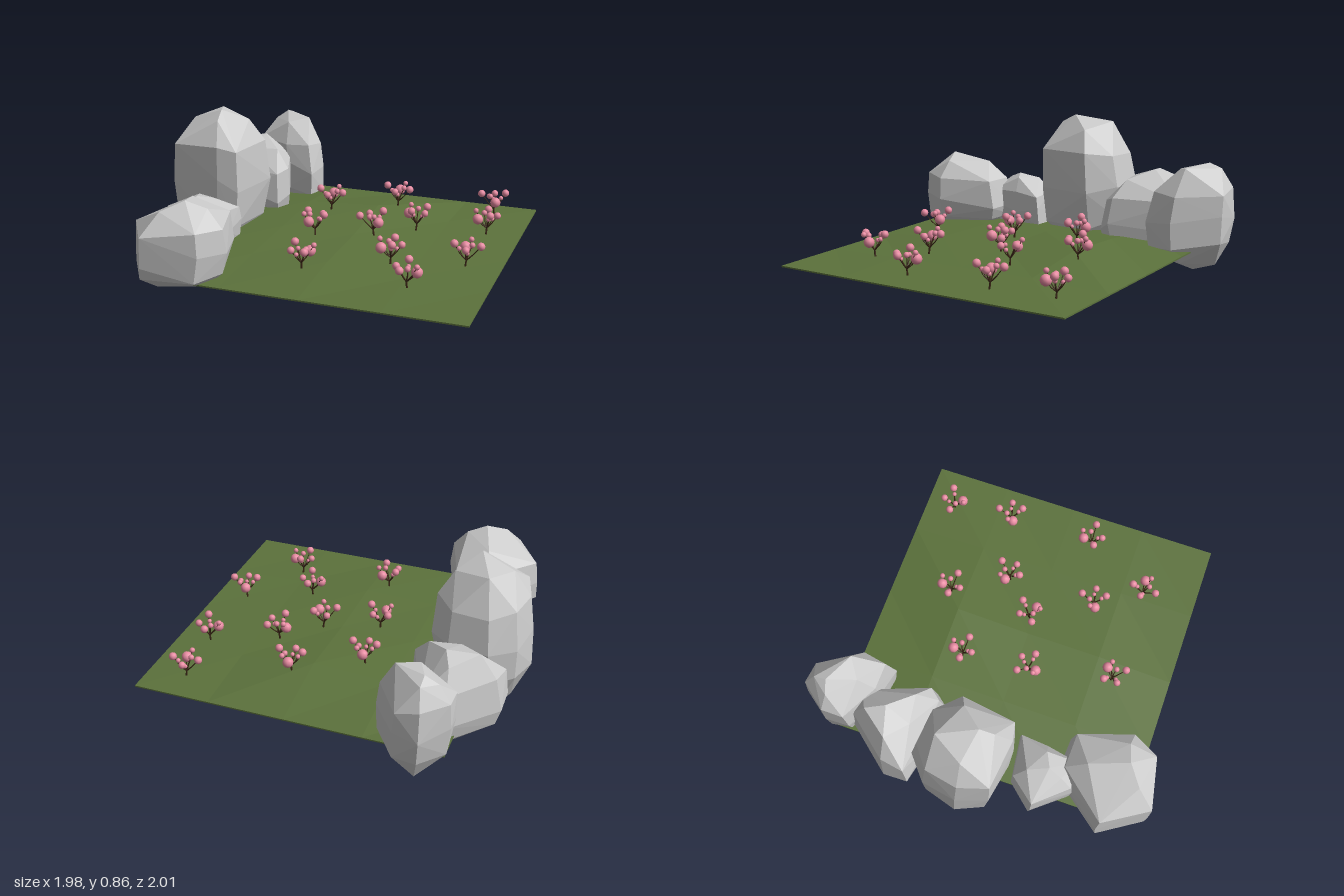
import * as THREE from 'three';
import { ConvexGeometry } from 'three/addons/geometries/ConvexGeometry.js';

const stone = new THREE.MeshStandardMaterial({ color: 0xcccccc, flatShading: true });
const grass = new THREE.MeshStandardMaterial({ color: 0x5c723c, flatShading: true });
const bark = new THREE.MeshStandardMaterial({ color: 0x3d2817 });
const blossom = new THREE.MeshStandardMaterial({ color: 0xe88ba2 });

function seeded(seed) {
  let s = seed * 7919 + 17;
  return () => (s = (s * 16807) % 2147483647) / 2147483647;
}

// Boulders: plan outline [x, z] at the waist, waist height, top and bottom points
const ROCKS = [
  { outline: [[-.63, .46], [-.42, .47], [-.31, .79], [-.4, .95], [-.7, 1], [-.86, .75]],
    waist: .3, top: [-.52, .59, .82], bottom: [-.68, .09, .78] },
  { outline: [[-.74, .23], [-.5, .2], [-.51, .36], [-.55, .55], [-.71, .57], [-.87, .38]],
    waist: .26, top: [-.66, .47, .42], bottom: [-.68, .1, .3] },
  { outline: [[-.82, -.31], [-.6, -.29], [-.47, -.15], [-.53, .18], [-.64, .21], [-.93, .17], [-.99, 0], [-.95, -.2]],
    waist: .46, top: [-.68, .86, .04], bottom: [-.85, 0, -.1] },
  { outline: [[-.72, -.72], [-.57, -.7], [-.42, -.32], [-.47, -.25], [-.72, -.27], [-.94, -.31], [-.94, -.45]],
    waist: .26, top: [-.65, .58, -.51], bottom: [-.62, .04, -.48] },
  { outline: [[-.66, -1], [-.52, -.98], [-.36, -.74], [-.38, -.58], [-.55, -.6], [-.77, -.71], [-.78, -.84]],
    waist: .35, top: [-.64, .65, -.85], bottom: [-.56, .04, -.8] },
];

// Convex stone: the outline shrinks along a rounded curve towards both end points
function makeRock({ outline, waist, top, bottom }, index) {
  const rnd = seeded(index + 3);
  const n = outline.length;
  const cx = outline.reduce((sum, p) => sum + p[0], 0) / n;
  const cz = outline.reduce((sum, p) => sum + p[1], 0) / n;
  const pts = outline.map(([x, z]) => new THREE.Vector3(x, waist + (rnd() - .5) * .08, z));
  for (const end of [top, bottom]) {
    pts.push(new THREE.Vector3(...end));
    [.5, .88].forEach((u, k) => outline.forEach(([x, z], i) => {
      if (k === 1 && i % 2) return; // fewer corners near the ends
      const scale = Math.sqrt(1 - u ** 3) * (.94 + .1 * rnd());
      const lean = u * .3;
      const level = Math.min(.97, u + (rnd() - .5) * .14);
      pts.push(new THREE.Vector3(
        cx + (x - cx) * scale + (end[0] - cx) * lean,
        THREE.MathUtils.lerp(waist, end[1], level),
        cz + (z - cz) * scale + (end[2] - cz) * lean));
    }));
  }
  const mesh = new THREE.Mesh(new ConvexGeometry(pts), stone);
  mesh.name = 'boulder' + (index + 1);
  return mesh;
}

// Ground: thin slab whose inner top corners are lifted into a low mound
const CELL = .4325, MID_X = .115, MID_Z = .033, EDGE_Y = .172;
const LIFT = [[.045, .068, .02], [.035, .04, .015], [.025, .038, .01]];
const lift = (col, row) => LIFT[row]?.[col] ?? 0;

function groundHeight(x, z) {
  const u = (x - MID_X) / CELL + 1, v = (z - MID_Z) / CELL + 1;
  const c = Math.floor(u), r = Math.floor(v);
  const near = THREE.MathUtils.lerp(lift(c, r), lift(c + 1, r), u - c);
  const far = THREE.MathUtils.lerp(lift(c, r + 1), lift(c + 1, r + 1), u - c);
  return EDGE_Y + THREE.MathUtils.lerp(near, far, v - r);
}

function makeGround() {
  const geo = new THREE.BoxGeometry(4 * CELL, .008, 4 * CELL, 4, 1, 4);
  const p = geo.attributes.position;
  for (let i = 0; i < p.count; i++) {
    const col = Math.round(p.getX(i) / CELL) + 1, row = Math.round(p.getZ(i) / CELL) + 1;
    if (p.getY(i) > 0) p.setY(i, p.getY(i) + lift(col, row));
  }
  geo.translate(MID_X, EDGE_Y - .004, MID_Z);
  geo.computeVertexNormals();
  const mesh = new THREE.Mesh(geo, grass);
  mesh.name = 'ground';
  return mesh;
}

function stick(a, b, r0, r1) {
  const d = b.clone().sub(a);
  const mesh = new THREE.Mesh(new THREE.CylinderGeometry(r1, r0, d.length(), 6), bark);
  mesh.position.copy(a).addScaledVector(d, .5);
  mesh.quaternion.setFromUnitVectors(new THREE.Vector3(0, 1, 0), d.normalize());
  mesh.name = 'branch';
  return mesh;
}

// Blossoms of one tree: [angle in degrees, reach, height, radius]
const BLOSSOMS = [
  [-90, .05, .09, .03], [-16, .036, .115, .016], [14, .082, .12, .022],
  [90, .06, .11, .02], [75, .035, .085, .012], [170, .061, .13, .022],
  [172, .035, .1, .013], [-62, .065, .13, .015],
];
function makeTree() {
  const tree = new THREE.Group();
  const root = new THREE.Vector3(0, -.012, 0);
  const fork = new THREE.Vector3(.006, .035, .003);
  tree.add(stick(root, fork, .006, .0045));
  for (const [angle, reach, y, r] of BLOSSOMS) {
    const a = THREE.MathUtils.degToRad(angle);
    const tip = new THREE.Vector3(Math.cos(a) * reach, y, Math.sin(a) * reach);
    const elbow = new THREE.Vector3(tip.x * .5, .035 + (y - .035) * .4, tip.z * .5);
    tree.add(stick(fork, elbow, .004, .003), stick(elbow, tip, .003, .002));
    const ball = new THREE.Mesh(new THREE.SphereGeometry(r, 10, 8), blossom);
    ball.position.copy(tip);
    ball.name = 'blossom';
    tree.add(ball);
  }
  return tree;
}

// Trees: [x, z, turn in degrees]
const TREES = [
  [.21, -.48, 0], [-.14, -.28, 0], [.76, -.66, 166], [.79, -.3, 250],
  [.41, -.18, 290], [.22, 0, 136], [-.09, .11, 206], [.79, .2, -14],
  [.42, .34, 256], [.01, .57, 45], [.585, .58, 90],
];

export function createModel() {
  const model = new THREE.Group();
  model.name = 'orchardField';
  model.add(makeGround());
  ROCKS.forEach((rock, i) => model.add(makeRock(rock, i)));
  const tree = makeTree();
  TREES.forEach(([x, z, turn], i) => {
    const t = tree.clone();
    t.name = 'blossomTree' + (i + 1);
    t.position.set(x, groundHeight(x, z), z);
    t.rotation.y = -THREE.MathUtils.degToRad(turn);
    model.add(t);
  });
  return model;
}
